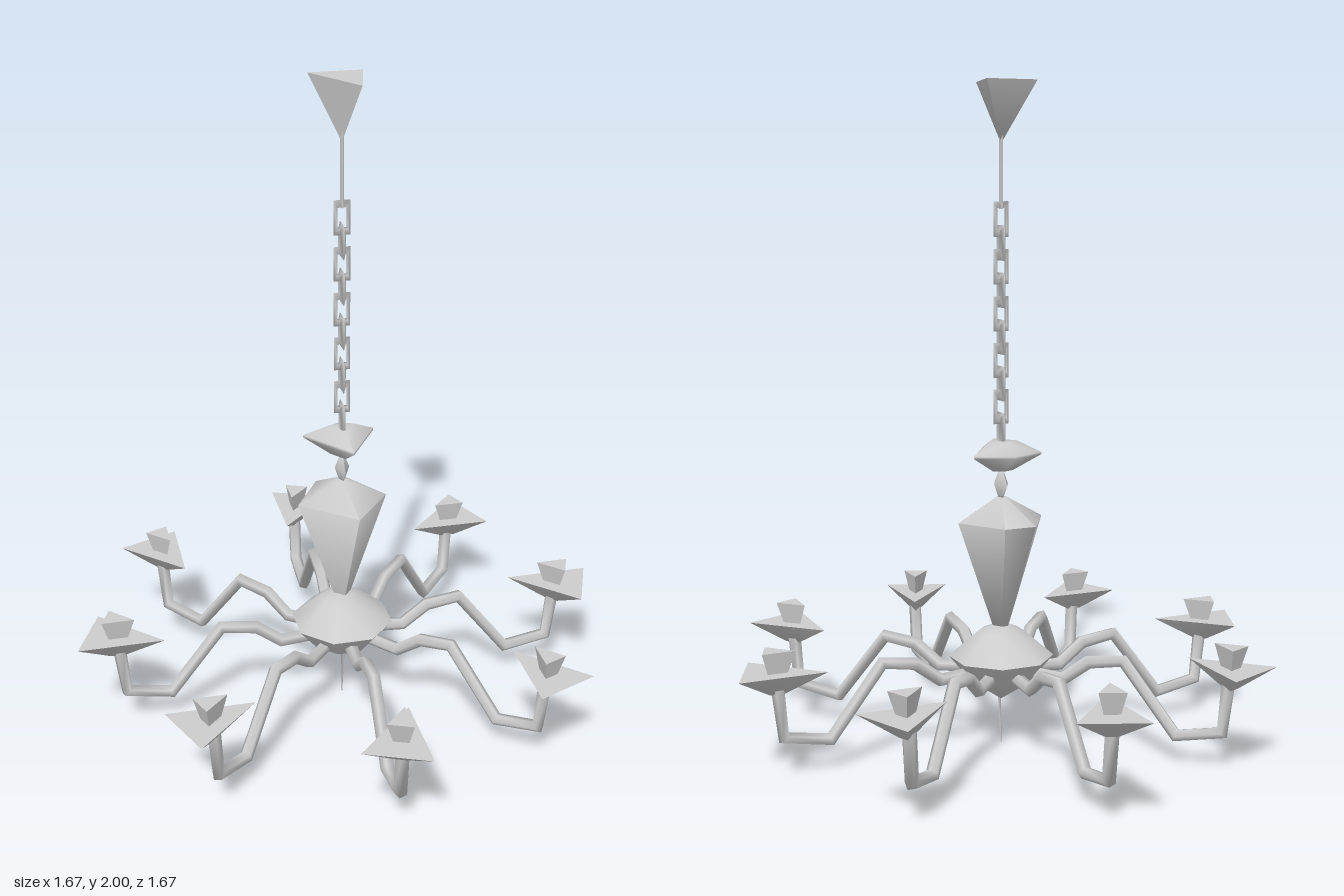
import * as THREE from 'three';
import { toCreasedNormals } from 'three/addons/utils/BufferGeometryUtils.js';
import { ConvexGeometry } from 'three/addons/geometries/ConvexGeometry.js';

const grey = new THREE.MeshStandardMaterial({ color: 0xcccccc });
grey.name = 'grey metal';

// Straight-sided path with a mitred direction at every bend
class Polyline extends THREE.Curve {
  constructor(points) {
    super();
    this.points = points;
  }
  index(u) {
    return Math.round(u * (this.points.length - 1));
  }
  getPointAt(u) {
    return this.points[this.index(u)].clone();
  }
  getTangentAt(u) {
    const p = this.points, i = this.index(u), t = new THREE.Vector3();
    if (i > 0) t.add(p[i].clone().sub(p[i - 1]).normalize());
    if (i < p.length - 1) t.add(p[i + 1].clone().sub(p[i]).normalize());
    return t.normalize();
  }
}

function part(parent, name, geometry) {
  const mesh = new THREE.Mesh(geometry, grey);
  mesh.name = name;
  parent.add(mesh);
  return mesh;
}

// Faceted turned shape, profile given as [radius, height] from bottom to top
function turned(profile, sides, phase = 0) {
  const points = profile.map(([r, y]) => new THREE.Vector2(r, y));
  return toCreasedNormals(new THREE.LatheGeometry(points, sides, phase), 1.1);
}

// Solid between scaled copies of one outline: layers are [scale, height]
function stacked(outline, layers) {
  const points = [];
  for (const [s, y] of layers) {
    for (const [x, z] of outline) points.push(new THREE.Vector3(x * s, y, z * s));
  }
  return toCreasedNormals(new ConvexGeometry(points), 1.3);
}

export function createModel() {
  const model = new THREE.Group();
  model.name = 'chandelier';

  // Ceiling mount and rod
  part(model, 'ceilingMount', stacked([[-0.08, -0.08], [0.08, -0.08], [0.03, 0.112]], [[0.06, 1.83], [1, 2]]));
  const rod = part(model, 'rod', new THREE.CylinderGeometry(0.012, 0.012, 0.22, 4));
  rod.position.y = 1.74;
  rod.scale.x = 0.5;

  // Chain of rectangular links, each turned a quarter from the last
  const linkGeometry = new THREE.TorusGeometry(0.026, 0.009, 3, 4);
  linkGeometry.rotateZ(Math.PI / 4);
  linkGeometry.scale(1, 2.1, 1);
  const chain = new THREE.Group();
  chain.name = 'chain';
  model.add(chain);
  for (let i = 0; i < 10; i++) {
    const link = part(chain, 'chainLink', linkGeometry);
    link.position.y = 1.6 - i * 0.0695;
    link.rotation.y = (i % 2) * Math.PI / 2;
  }

  // Column: disc, knot, vase and body
  const discOutline = [[0.11, -0.05], [0, -0.1], [-0.11, -0.05], [0.01, 0.11]];
  part(model, 'upperDisc', stacked(discOutline, [[0.3, 0.852], [1, 0.9], [1, 0.907], [0.4, 0.942]]));
  const knot = part(model, 'knot', turned([[0, 0.76], [0.022, 0.775], [0.045, 0.81], [0.02, 0.845], [0, 0.86]], 4));
  knot.scale.x = 0.5;
  const vaseOutline = [[0.02, 0.145], [0.14, 0], [0.05, -0.14], [-0.05, -0.14], [-0.14, 0.01]];
  part(model, 'vase', stacked(vaseOutline, [[0.2, 0.375], [1, 0.7], [0.12, 0.77]]));
  part(model, 'body', turned([[0, 0.14], [0.1, 0.205], [0.16, 0.278], [0.07, 0.355], [0, 0.385]], 8, Math.PI / 8));

  // Thin finial hanging slightly forward of the centre
  const finial = part(model, 'finial', new THREE.CylinderGeometry(0.007, 0.001, 0.16, 3));
  finial.position.set(0, 0.08, 0.008);
  finial.rotation.x = 0.1;

  // Eight arms, each carrying a three-cornered pan and a socket
  const path = [[0.08, 0.235], [0.2, 0.225], [0.28, 0.285], [0.387, 0.3], [0.55, 0.09], [0.69, 0.115], [0.706, 0.265]];
  const armGeometry = new THREE.TubeGeometry(
    new Polyline(path.map(([x, y]) => new THREE.Vector3(x, y, -0.004))), path.length - 1, 0.021, 5);
  const corners = [[0.126, -0.058], [-0.138, -0.058], [0.046, 0.13]];
  const panGeometry = stacked(corners, [[0.17, 0.25], [1, 0.313]]);
  const socketGeometry = stacked(corners, [[0.22, 0.31], [0.38, 0.377]]);
  for (let i = 0; i < 8; i++) {
    const branch = new THREE.Group();
    branch.name = 'branch';
    branch.rotation.y = i * Math.PI / 4;
    part(branch, 'arm', armGeometry);
    part(branch, 'pan', panGeometry).position.x = 0.71;
    part(branch, 'candleSocket', socketGeometry).position.x = 0.71;
    model.add(branch);
  }
  return model;
}
